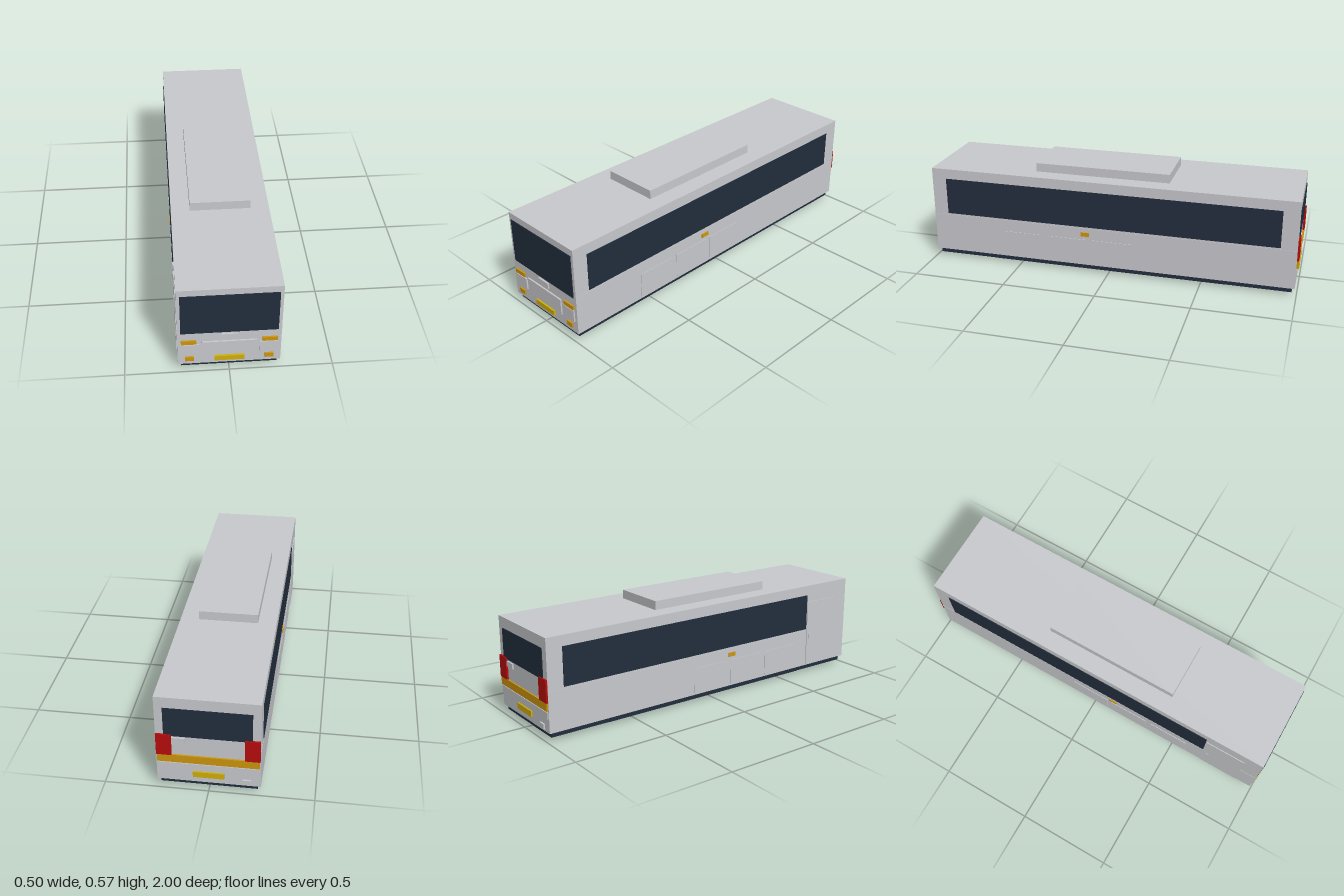
import * as THREE from 'three';

const flat = (name, color) => {
  const m = new THREE.MeshStandardMaterial({ color });
  m.name = name;
  return m;
};

export function createModel() {
  const bus = new THREE.Group();
  bus.name = 'bus';
  const paint = flat('light grey paint', 0xc8c9cd);
  const dark = flat('dark blue glass and chassis', 0x222e3d);
  const amber = flat('amber lamp', 0xcd960f);
  const yellow = flat('yellow plate', 0xd1af0c);
  const red = flat('red lamp', 0xb80c0c);

  // Box given by its lower and upper bounds on each axis
  const box = (name, mat, x0, x1, y0, y1, z0, z1) => {
    const mesh = new THREE.Mesh(new THREE.BoxGeometry(x1 - x0, y1 - y0, z1 - z0), mat);
    mesh.position.set((x0 + x1) / 2, (y0 + y1) / 2, (z0 + z1) / 2);
    mesh.name = name;
    bus.add(mesh);
  };
  const W = 0.245, L = 0.99;
  // Raised plates on the front, the back and either side (s = +1 or -1)
  const front = (name, mat, x0, x1, y0, y1, t = 0.008) => box(name, mat, x0, x1, y0, y1, L - 0.002, L + t);
  const back = (name, mat, x0, x1, y0, y1, t = 0.008) => box(name, mat, x0, x1, y0, y1, -L - t, -L + 0.002);
  const side = (name, mat, s, z0, z1, y0, y1, t) => {
    const a = s * (W - 0.002), b = s * (W + t);
    box(name, mat, Math.min(a, b), Math.max(a, b), y0, y1, z0, z1);
  };

  // Body, roof unit and chassis
  box('body', paint, -W, W, 0.045, 0.52, -L, L);
  box('roofUnit', paint, -0.151, 0.151, 0.515, 0.567, -0.31, 0.42);
  box('chassis', dark, -0.231, 0.231, 0.018, 0.05, -0.975, 0.975);
  box('underbody', dark, -0.197, 0.197, 0, 0.02, -0.635, 0.665);

  // Front
  front('windscreen', dark, -0.229, 0.229, 0.25, 0.485, 0.004);
  front('frontBadgePlate', paint, -0.038, 0.038, 0.209, 0.24);
  front('frontGrille', paint, -0.13, 0.13, 0.104, 0.192);
  front('frontNumberPlate', yellow, -0.071, 0.071, 0.067, 0.095, 0.01);
  for (const s of [-1, 1]) {
    const pair = (name, mat, a, b, y0, y1) => front(name, mat, Math.min(s * a, s * b), Math.max(s * a, s * b), y0, y1);
    pair('turnSignal', amber, 0.156, 0.228, 0.181, 0.204);
    pair('headlight', paint, 0.144, 0.228, 0.114, 0.177);
    pair('fogLamp', amber, 0.169, 0.21, 0.07, 0.095);
  }

  // Both sides
  for (const s of [-1, 1]) {
    side('sideWindow', dark, s, -0.905, s > 0 ? 0.91 : 0.678, 0.265, 0.465, 0.003);
    side('beltRail', paint, s, -L, L, 0.248, 0.256, 0.0015);
    for (const z of [-0.128, 0.115, 0.365]) side('lockerPanel', paint, s, z, z + 0.217, 0.055, 0.192, 0.003);
    side('sideMarker', amber, s, 0.1, 0.147, 0.212, 0.234, 0.005);
  }

  // Door with handle
  side('door', paint, -1, 0.684, 0.9, 0.052, 0.425, 0.004);
  side('doorHandle', paint, -1, 0.7, 0.722, 0.205, 0.232, 0.006);

  // Back
  back('rearWindow', dark, -0.206, 0.206, 0.308, 0.463, 0.004);
  back('rearBar', amber, -0.24, 0.24, 0.158, 0.2);
  back('rearBumper', paint, -0.24, 0.24, 0.118, 0.152, 0.005);
  back('rearNumberPlate', yellow, -0.074, 0.074, 0.077, 0.108);
  back('rearHatchHandle', paint, 0.106, 0.168, 0.272, 0.3);
  back('rearSocket', paint, -0.2, -0.158, 0.055, 0.082);
  for (const s of [-1, 1]) back('tailLight', red, s * 0.207 - 0.036, s * 0.207 + 0.036, 0.2, 0.316, 0.01);

  return bus;
}
